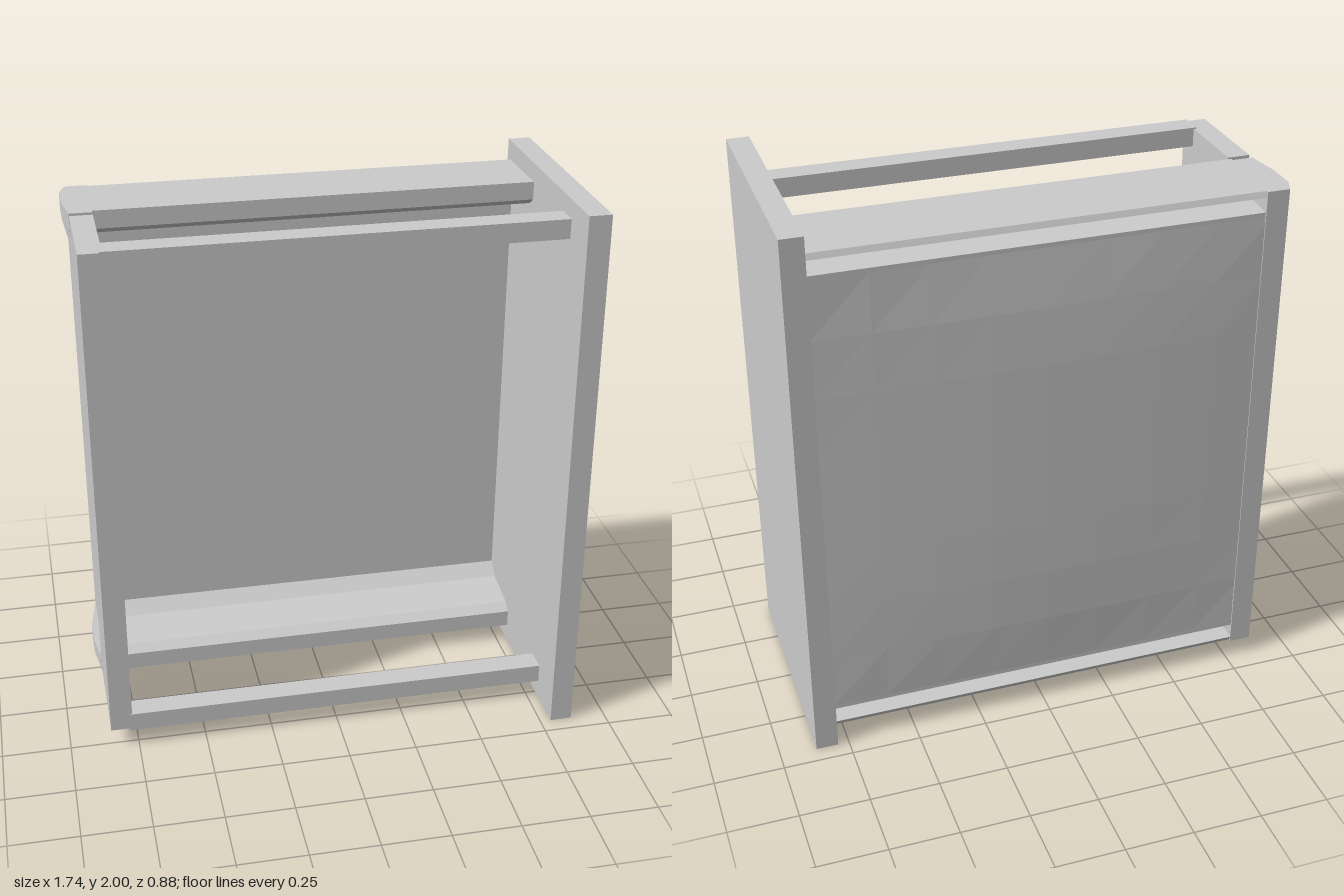
import * as THREE from 'three';

const material = new THREE.MeshStandardMaterial({ color: 0xcccccc, flatShading: true });

export function createModel() {
  const group = new THREE.Group();

  const add = (name, geometry) => {
    const mesh = new THREE.Mesh(geometry, material);
    mesh.name = name;
    group.add(mesh);
    return mesh;
  };

  // Box given by its limits on each axis
  const box = (name, [x0, x1], [y0, y1], [z0, z1], sx = 1, sy = 1) => {
    const g = new THREE.BoxGeometry(x1 - x0, y1 - y0, z1 - z0, sx, sy, 1);
    g.translate((x0 + x1) / 2, (y0 + y1) / 2, (z0 + z1) / 2);
    return add(name, g);
  };

  // Large face panel
  box('facePanel', [0.79, 0.87], [0, 2], [-0.44, 0.44]);

  // End wall: front half and slightly inset rear half
  box('endWall', [-0.85, -0.77], [0.075, 1.93], [-0.1, 0.275]);
  box('endWallRear', [-0.845, -0.765], [0.14, 1.86], [-0.42, -0.1]);

  // Base panel, its outer face gently bowed
  const base = box('basePanel', [-0.8, 0.79], [0.16, 1.84], [-0.415, -0.37], 8, 8).geometry;
  const p = base.attributes.position;
  for (let i = 0; i < p.count; i++) {
    if (p.getZ(i) < -0.4) {
      const bx = 1 - (p.getX(i) / 0.8) ** 2;
      const by = 1 - ((p.getY(i) - 1) / 0.84) ** 4;
      p.setZ(i, p.getZ(i) - 0.02 * Math.max(0, bx * by));
    }
  }
  base.computeVertexNormals();

  // Side section as [z, y]: outer flange, groove open to the rear, sloping inner wall
  const sideProfile = [
    [-0.125, 1.935], [-0.41, 1.93], [-0.42, 1.91], [-0.2, 1.905],
    [-0.2, 1.87], [-0.415, 1.855], [-0.415, 1.78], [-0.37, 1.775],
    [-0.32, 1.82], [-0.16, 1.845], [-0.125, 1.87],
  ];
  // Corner outline as [x, z], bulging past the end wall
  const cornerOutline = [
    [-0.765, -0.42], [-0.845, -0.42], [-0.868, -0.36],
    [-0.868, -0.25], [-0.85, -0.125], [-0.765, -0.125],
  ];

  for (const top of [true, false]) {
    const flip = (y) => (top ? y : 2 - y);
    const end = top ? 'upper' : 'lower';

    const section = new THREE.Shape(sideProfile.map(([z, y]) => new THREE.Vector2(-z, flip(y))));
    const side = new THREE.ExtrudeGeometry(section, { depth: 1.56, bevelEnabled: false });
    side.rotateY(Math.PI / 2).translate(-0.77, 0, 0);
    add(end + 'Side', side);

    // Corner block, tapering into the end wall toward the middle
    const outline = new THREE.Shape(cornerOutline.map(([x, z]) => new THREE.Vector2(x, -z)));
    const corner = new THREE.ExtrudeGeometry(outline, { depth: 0.13, steps: 2, bevelEnabled: false });
    corner.rotateX(-Math.PI / 2).translate(0, top ? 1.8 : 0.07, 0);
    const c = corner.attributes.position;
    for (let i = 0; i < c.count; i++) {
      const inner = Math.abs(c.getY(i) - 1) < 0.82;
      if (inner) c.setX(i, Math.max(c.getX(i), -0.847));
    }
    corner.computeVertexNormals();
    add(end + 'Corner', corner);

    // Slim rail between end wall and face panel
    box(end + 'Rail', [-0.78, 0.8], top ? [1.865, 1.935] : [0.068, 0.138], [0.192, 0.278]);
  }

  return group;
}
